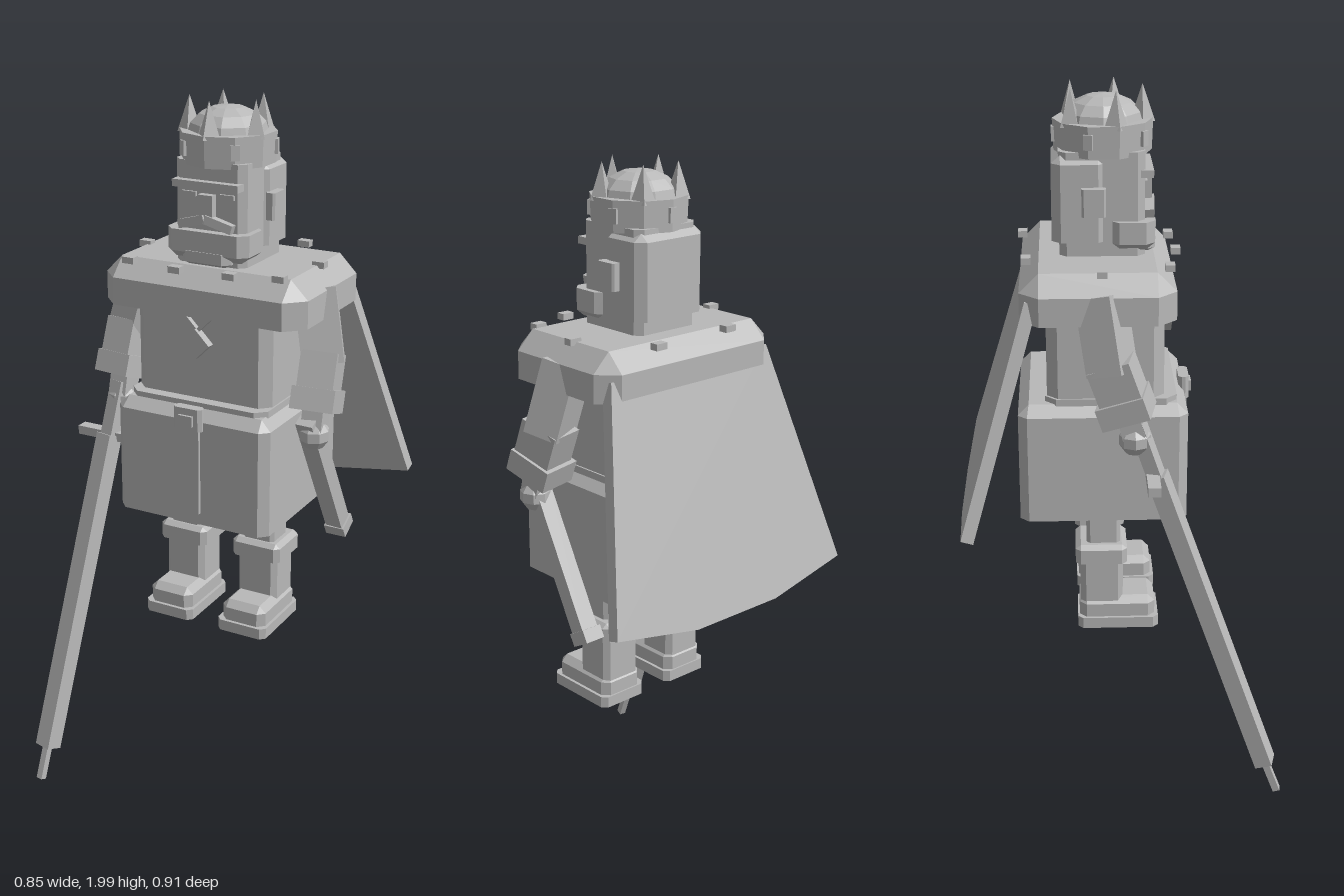
import * as THREE from 'three';
import { ConvexGeometry } from 'three/addons/geometries/ConvexGeometry.js';

const stone = new THREE.MeshStandardMaterial({ color: 0xb8b8b8, flatShading: true });
stone.name = 'stone grey';

export function createModel() {
  const model = new THREE.Group();
  model.name = 'kingFigure';
  const V = (x, y, z) => new THREE.Vector3(x, y, z);

  const add = (name, geometry, parent = model) => {
    const mesh = new THREE.Mesh(geometry, stone);
    mesh.name = name;
    parent.add(mesh);
    return mesh;
  };

  // Block given by its limits
  const box = (name, x0, x1, y0, y1, z0, z1, parent) => {
    const g = new THREE.BoxGeometry(x1 - x0, y1 - y0, z1 - z0);
    g.translate((x0 + x1) / 2, (y0 + y1) / 2, (z0 + z1) / 2);
    return add(name, g, parent);
  };

  // Block with cut upright edges (c), and cut top or bottom edges
  const block = (name, x0, x1, y0, y1, z0, z1, c, top = 0, bottom = 0, parent) => {
    const pts = [];
    const ring = (y) => {
      for (const [x, sx] of [[x0, 1], [x1, -1]])
        for (const [z, sz] of [[z0, 1], [z1, -1]])
          pts.push(V(x + sx * c, y, z), V(x, y, z + sz * c));
    };
    const cap = (y, i) => {
      for (const x of [x0 + i, x1 - i]) for (const z of [z0 + i, z1 - i]) pts.push(V(x, y, z));
    };
    ring(y0 + bottom);
    ring(y1 - top);
    if (top) cap(y1, Math.max(c, top));
    if (bottom) cap(y0, Math.max(c, bottom));
    return add(name, new ConvexGeometry(pts), parent);
  };

  // Square bar between two points
  const bar = (name, a, b, w, d, parent) => {
    const dir = b.clone().sub(a);
    const mesh = add(name, new THREE.BoxGeometry(w, dir.length(), d), parent);
    mesh.position.copy(a).add(b).multiplyScalar(0.5);
    mesh.quaternion.setFromUnitVectors(V(0, 1, 0), dir.normalize());
    return mesh;
  };

  // Body and clothes
  block('torso', -0.21, 0.21, 1.15, 1.46, -0.205, 0.115, 0.03);
  block('skirt', -0.24, 0.24, 0.835, 1.175, -0.285, 0.18, 0.025, 0.03);
  block('belt', -0.215, 0.215, 1.15, 1.19, -0.21, 0.15, 0.03);
  box('frontPanel', -0.035, 0.035, 0.87, 1.14, 0.17, 0.19);
  block('buckle', -0.045, 0.045, 1.12, 1.185, 0.165, 0.195, 0.01);
  box('bucklePin', -0.022, 0.022, 1.135, 1.165, 0.19, 0.203);
  block('mantle', -0.313, 0.313, 1.43, 1.56, -0.273, 0.142, 0.052, 0.052);
  const spots = [[-0.135, -0.255], [0.13, -0.268], [-0.268, -0.055], [0.264, -0.082],
    [-0.215, 0.125], [0.233, 0.1], [-0.055, 0.15], [0.105, 0.14]];
  for (const [x, z] of spots) box('mantleSpot', x - 0.018, x + 0.018, 1.552, 1.57, z - 0.013, z + 0.013);

  // Pendant and its chain
  const pendant = add('pendant', new THREE.BoxGeometry(0.062, 0.062, 0.025));
  pendant.position.set(0, 1.355, 0.133);
  pendant.rotation.z = Math.PI / 4;
  for (const s of [-1, 1]) bar('chain', V(0, 1.39, 0.128), V(s * 0.05, 1.44, 0.128), 0.01, 0.015);

  // Cloak, hanging away from the back
  const cloakShape = new THREE.Shape([[-0.285, 0], [-0.425, -0.645], [-0.15, -0.695], [0.15, -0.695],
    [0.425, -0.645], [0.285, 0]].map(([x, y]) => new THREE.Vector2(x, y)));
  const cloak = add('cloak', new THREE.ExtrudeGeometry(cloakShape, { depth: 0.035, bevelEnabled: false }));
  cloak.position.set(0, 1.49, -0.258);
  cloak.rotation.x = 0.285;

  // Legs and boots
  for (const s of [-1, 1]) {
    const leg = new THREE.Group();
    leg.name = s > 0 ? 'leftLeg' : 'rightLeg';
    leg.position.x = s * 0.122;
    model.add(leg);
    block('thigh', -0.05, 0.05, 0.7, 0.9, -0.1, -0.005, 0.01, 0, 0, leg);
    block('bootCuff', -0.077, 0.077, 0.675, 0.73, -0.132, 0.015, 0.015, 0.012, 0, leg);
    block('bootShaft', -0.063, 0.063, 0.5, 0.69, -0.118, 0.003, 0.015, 0, 0, leg);
    block('foot', -0.07, 0.07, 0.49, 0.56, -0.122, 0.095, 0.02, 0.02, 0, leg);
    block('sole', -0.079, 0.079, 0.467, 0.5, -0.127, 0.105, 0.015, 0, 0, leg);
  }

  // Arms
  for (const s of [-1, 1]) {
    const arm = new THREE.Group();
    arm.name = s > 0 ? 'leftArm' : 'rightArm';
    model.add(arm);
    bar('upperArm', V(s * 0.262, 1.5, -0.06), V(s * 0.308, 1.3, -0.03), 0.1, 0.115, arm);
    bar('forearm', V(s * 0.305, 1.33, -0.035), V(s * 0.31, 1.19, 0.015), 0.102, 0.118, arm);
    bar('cuff', V(s * 0.307, 1.235, -0.005), V(s * 0.309, 1.175, 0.016), 0.122, 0.135, arm);
    bar('wrist', V(s * 0.309, 1.2, 0.01), V(s * 0.31, 1.12, 0.03), 0.06, 0.06, arm);
    const hand = add('hand', new THREE.SphereGeometry(0.045, 8, 5), arm);
    hand.position.set(s * 0.312, 1.112, 0.03);
  }

  // Sword in the right hand
  const sword = new THREE.Group();
  sword.name = 'sword';
  model.add(sword);
  bar('grip', V(-0.312, 1.16, 0.035), V(-0.32, 1.0, 0.09), 0.045, 0.04, sword);
  box('guard', -0.427, -0.245, 0.994, 1.02, 0.06, 0.095, sword);
  bar('blade', V(-0.322, 1.01, 0.09), V(-0.366, 0.105, 0.41), 0.056, 0.05, sword);
  bar('tip', V(-0.366, 0.12, 0.405), V(-0.37, 0.01, 0.447), 0.02, 0.02, sword);

  // Rod in the left hand
  bar('rod', V(0.3, 1.16, 0.05), V(0.304, 0.75, -0.175), 0.052, 0.052);
  bar('rodCap', V(0.304, 0.77, -0.166), V(0.304, 0.738, -0.184), 0.062, 0.062);

  // Head
  block('head', -0.108, 0.108, 1.55, 1.84, -0.165, 0.065, 0.02);
  block('hair', -0.12, 0.12, 1.6, 1.83, -0.185, -0.035, 0.025, 0.02);
  block('beard', -0.125, 0.125, 1.575, 1.655, -0.03, 0.092, 0.025, 0, 0.02);
  block('chinBeard', -0.075, 0.075, 1.56, 1.6, 0.0, 0.095, 0.02, 0, 0.01);
  box('brow', -0.1, 0.1, 1.77, 1.79, 0.05, 0.088);
  box('nose', -0.022, 0.022, 1.68, 1.755, 0.05, 0.087);
  for (const s of [-1, 1]) {
    const eye = box('eye', -0.022, 0.022, 1.745, 1.758, 0.06, 0.072);
    eye.position.x = s * 0.058;
    const ear = block('ear', -0.014, 0.014, 1.675, 1.75, -0.105, -0.04, 0.006);
    ear.position.x = s * 0.13;
    const whisker = bar('moustache', V(0, 1.69, 0.08), V(s * 0.08, 1.668, 0.075), 0.024, 0.03);
    whisker.name = 'moustache';
  }

  // Crown
  const crown = new THREE.Group();
  crown.name = 'crown';
  crown.position.set(0, 0, -0.045);
  model.add(crown);
  add('band', new THREE.CylinderGeometry(0.135, 0.132, 0.085, 10), crown).position.y = 1.868;
  const dome = add('dome', new THREE.SphereGeometry(0.112, 10, 4, 0, Math.PI * 2, 0, Math.PI / 2), crown);
  dome.position.y = 1.9;
  dome.scale.y = 0.68;
  for (let i = 0; i < 5; i++) {
    const a = (i * Math.PI * 2) / 5;
    const spike = add('spike', new THREE.ConeGeometry(0.034, 0.1, 4), crown);
    spike.position.set(Math.sin(a) * 0.106, 1.95, Math.cos(a) * 0.106);
    spike.rotation.y = a;
    const b = a + Math.PI / 5;
    const gem = add('gem', new THREE.BoxGeometry(0.025, 0.04, 0.02), crown);
    gem.position.set(Math.sin(b) * 0.128, 1.87, Math.cos(b) * 0.128);
    gem.rotation.y = b;
  }

  return model;
}
